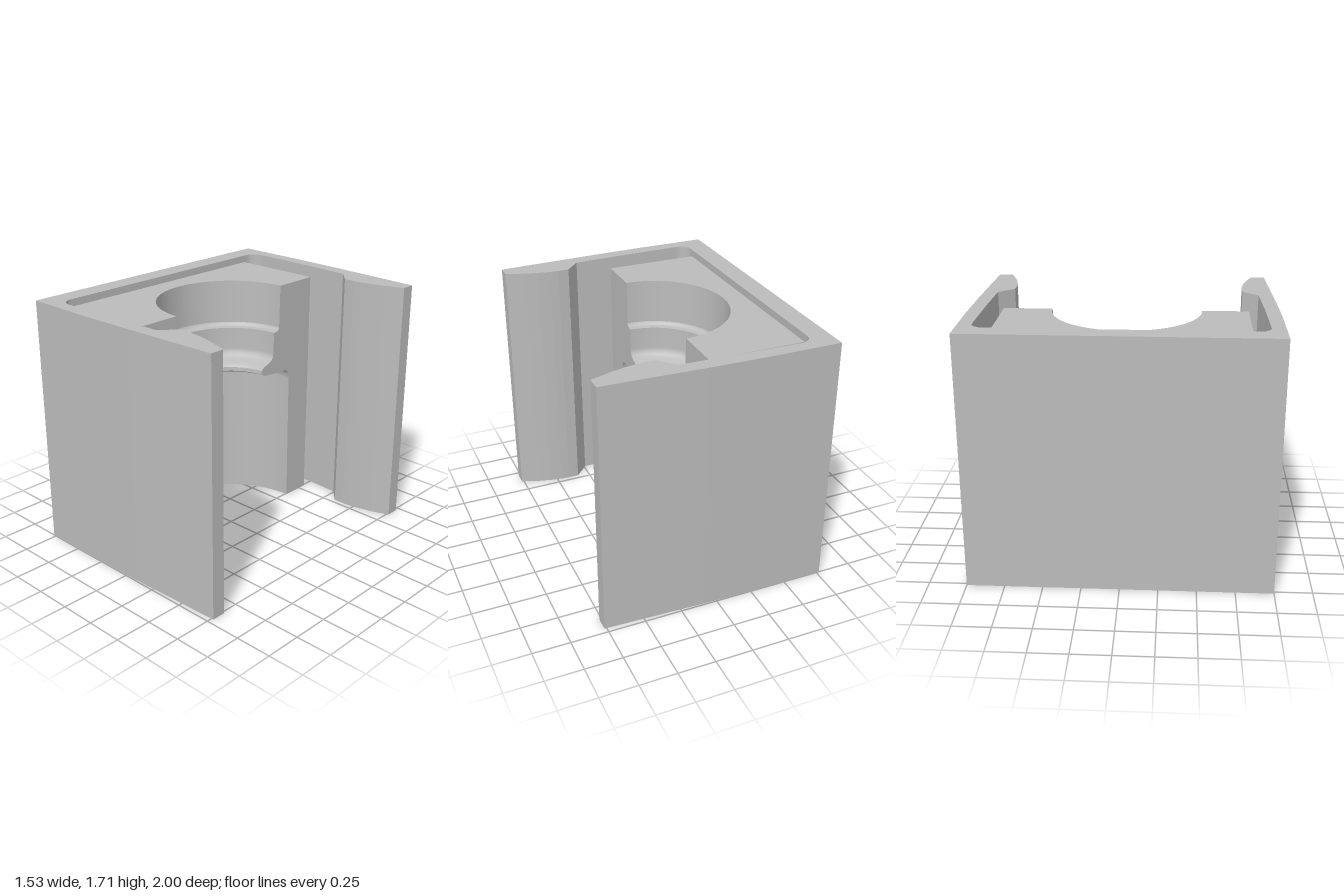
import * as THREE from 'three';

const HEIGHT = 1.71, BLOCK_TOP = 1.66;
const FACE_X = 0.01, CAVITY_Z = 0.01;   // axis of the bottle-shaped cavity
const BACK_X = -0.63, BLOCK_Z = 0.81;

// Cavity profile (radius, height) from top to bottom, split at sharp edges
const profile = [
  [[0.495, 1.66], [0.489, 1.36]],
  [[0.489, 1.36], [0.483, 1.345], [0.468, 1.336]],
  [[0.468, 1.336], [0.435, 1.332]],
  [[0.435, 1.332], [0.433, 1.18], [0.428, 1.155], [0.415, 1.135], [0.39, 1.12], [0.36, 1.11], [0.335, 1.1], [0.32, 1.09], [0.312, 1.08]],
  [[0.312, 1.08], [0.31, 1.053]],
  [[0.31, 1.053], [0.325, 1.045], [0.345, 1.036], [0.38, 1.031]],
  [[0.38, 1.031], [0.54, 1.022], [0.57, 1.016], [0.59, 1.003], [0.602, 0.983], [0.606, 0.955]],
  [[0.606, 0.955], [0.608, 0.6], [0.613, 0]],
];

export function createModel() {
  const grey = new THREE.MeshStandardMaterial({ color: 0xbcbcbc, side: THREE.DoubleSide });
  grey.name = 'grey';
  const model = new THREE.Group();
  model.name = 'clipBlock';
  const add = (name, geometry, parent = model) => {
    const mesh = new THREE.Mesh(geometry, grey);
    mesh.name = name;
    parent.add(mesh);
    return mesh;
  };

  // U-shaped bracket: back wall with two springy arms ending in thick noses
  const half = [[-0.77, 1], [-0.3, 1], [0.1, 0.99], [0.765, 0.963], [0.765, 0.87],
    [0.64, 0.826], [0.55, 0.802], [0.47, 0.788], [0.41, 0.783], [0.335, 0.785],
    [0.24, 0.888], [-0.1, 0.902], [-0.55, 0.911]];
  for (let i = 1; i <= 6; i++) {         // rounded slot end
    const a = Math.PI / 2 * (1 + i / 6);
    half.push([-0.55 + 0.08 * Math.cos(a), 0.831 + 0.08 * Math.sin(a)]);
  }
  const outline = [...half, ...half.map(([x, z]) => [x, -z]).reverse()];
  const bracketShape = new THREE.Shape(outline.map(([x, z]) => new THREE.Vector2(x, z)));
  add('bracket', new THREE.ExtrudeGeometry(bracketShape, { depth: HEIGHT, bevelEnabled: false })
    .rotateX(-Math.PI / 2));

  // Inner block holding the half-bottle cavity
  const block = new THREE.Group();
  block.name = 'innerBlock';
  model.add(block);

  // Cavity wall, half revolved
  for (const section of profile) {
    const points = section.map(([r, y]) => new THREE.Vector2(r, y));
    add('cavityWall', new THREE.LatheGeometry(points, 64, Math.PI, Math.PI), block)
      .position.set(FACE_X, 0, CAVITY_Z);
  }

  // Front cut faces, one on each side of the cavity
  const cut = profile.flat().map(([r, y]) => [r, y])
    .filter((p, i, list) => i === 0 || p[0] !== list[i - 1][0] || p[1] !== list[i - 1][1]);
  for (const s of [-1, 1]) {
    const points = cut.map(([r, y]) => new THREE.Vector2(s * r - CAVITY_Z, y));
    points.push(new THREE.Vector2(s * BLOCK_Z, 0), new THREE.Vector2(s * BLOCK_Z, BLOCK_TOP));
    add('cutFace', new THREE.ShapeGeometry(new THREE.Shape(points)).rotateY(Math.PI / 2), block)
      .position.x = FACE_X;
  }

  // Top and bottom faces with a half-round opening
  const endFace = (name, radius, y, up) => {
    const c = -up * CAVITY_Z;
    const shape = new THREE.Shape();
    shape.moveTo(FACE_X, BLOCK_Z);
    shape.lineTo(BACK_X, BLOCK_Z);
    shape.lineTo(BACK_X, -BLOCK_Z);
    shape.lineTo(FACE_X, -BLOCK_Z);
    shape.lineTo(FACE_X, c - radius);
    shape.absarc(FACE_X, c, radius, -Math.PI / 2, -Math.PI * 1.5, true);
    add(name, new THREE.ShapeGeometry(shape, 64).rotateX(-up * Math.PI / 2), block).position.y = y;
  };
  endFace('blockTop', 0.495, BLOCK_TOP, 1);
  endFace('blockBottom', 0.613, 0, -1);

  // Side faces along the slots
  for (const s of [-1, 1]) {
    const side = new THREE.PlaneGeometry(FACE_X - BACK_X, BLOCK_TOP);
    if (s < 0) side.rotateY(Math.PI);
    add('blockSide', side, block).position.set((FACE_X + BACK_X) / 2, BLOCK_TOP / 2, s * BLOCK_Z);
  }
  return model;
}
